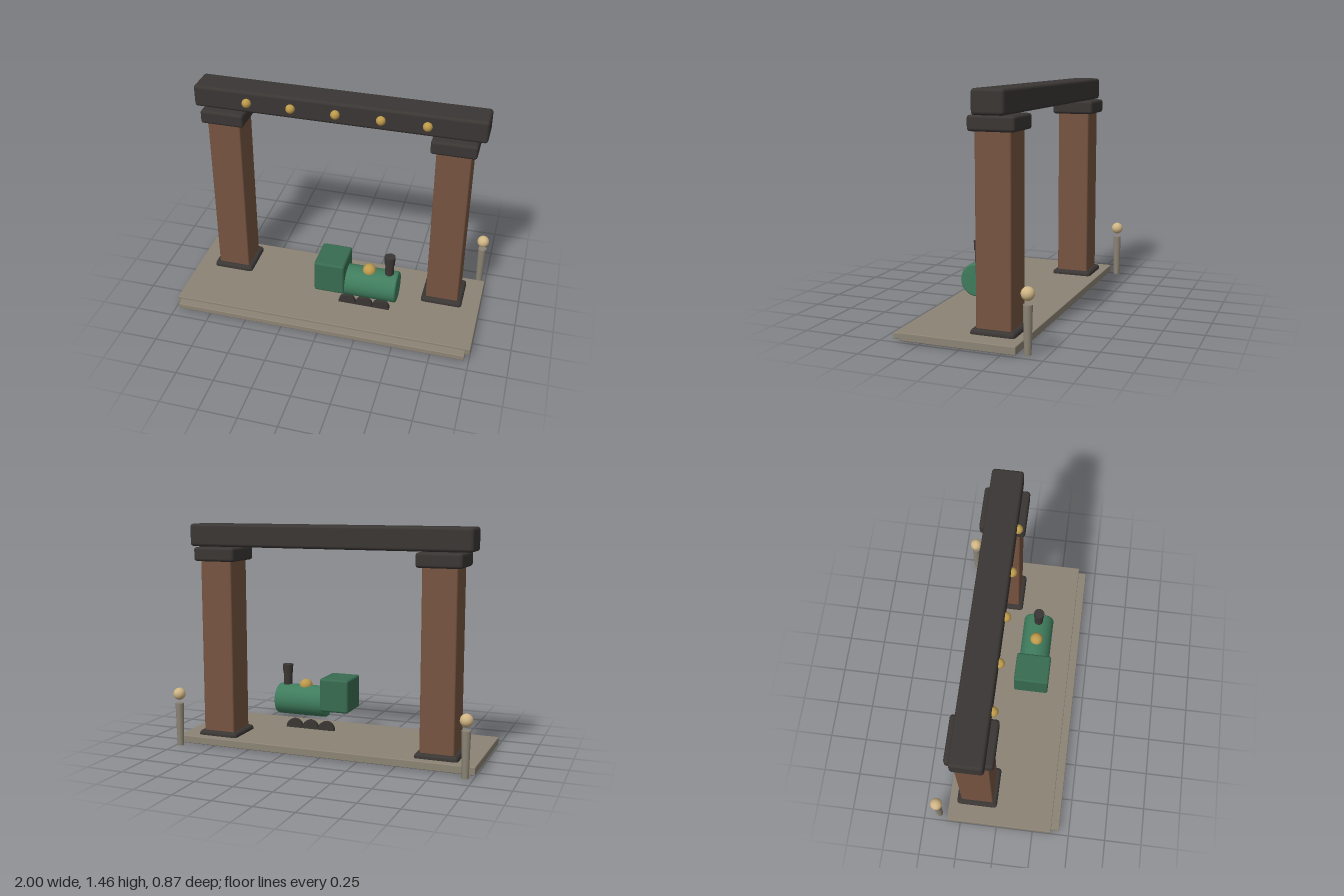
import * as THREE from 'three';
import { RoundedBoxGeometry } from 'three/addons/geometries/RoundedBoxGeometry.js';

const mat = (color) => new THREE.MeshStandardMaterial({ color });

export function createModel() {
  const model = new THREE.Group();
  const iron = mat(0x3a3634), wood = mat(0x765440), stone = mat(0x8c8475), green = mat(0x3f7c5d);
  const cab = mat(0x386b50), brass = mat(0xbd9a4b), cream = mat(0xd0b585), bed = mat(0x6f6650);

  const add = (name, geometry, material, x, y, z, parent = model) => {
    const mesh = new THREE.Mesh(geometry, material);
    mesh.name = name;
    mesh.position.set(x, y, z);
    parent.add(mesh);
    return mesh;
  };
  // Softly bevelled box given by its lower and upper corners
  const block = (name, material, [x0, y0, z0], [x1, y1, z1], bevel, parent) =>
    add(name, new RoundedBoxGeometry(x1 - x0, y1 - y0, z1 - z0, 2, bevel), material,
      (x0 + x1) / 2, (y0 + y1) / 2, (z0 + z1) / 2, parent);

  // Platform with its front step and the bed underneath
  block('platform', stone, [-1, 0.01, -0.34], [1, 0.06, 0.375], 0.005);
  block('frontStep', stone, [-0.975, 0.008, 0.29], [0.97, 0.045, 0.43], 0.005);
  block('trackBed', bed, [-0.47, 0.006, -0.16], [0.37, 0.04, 0.21], 0.003);

  // Two pillars, each with a foot and a capital
  for (const side of [-1, 1]) {
    const pillar = new THREE.Group();
    pillar.name = side > 0 ? 'leftPillar' : 'rightPillar';
    pillar.position.set(side * 0.743, 0, -0.149);
    model.add(pillar);
    block('shaft', wood, [-0.109, 0.01, -0.109], [0.109, 1.23, 0.109], 0.01, pillar);
    block('foot', iron, [-0.138, 0, -0.138], [0.138, 0.09, 0.138], 0.022, pillar);
    block('capital', iron, [-0.143, 1.217, -0.143], [0.143, 1.308, 0.143], 0.018, pillar);
  }

  // Lintel with a row of brass studs
  block('lintel', iron, [-0.938, 1.31, -0.25], [0.935, 1.456, -0.052], 0.02);
  for (let i = -2; i <= 2; i++) {
    add('stud', new THREE.SphereGeometry(0.03, 16, 12), brass, i * 0.288 - 0.005, 1.382, -0.046);
  }

  // Locomotive
  const engine = new THREE.Group();
  engine.name = 'locomotive';
  engine.position.z = 0.124;
  model.add(engine);
  block('cab', cab, [-0.069, 0.215, -0.118], [0.132, 0.438, 0.118], 0.015, engine);
  const half = 0.178, r = 0.104, b = 0.012;
  const boilerProfile = [[0, -half], [r - b, -half], [r - b * 0.3, -half + b * 0.3], [r, -half + b],
    [r, half - b], [r - b * 0.3, half - b * 0.3], [r - b, half], [0, half]]
    .map(([x, y]) => new THREE.Vector2(x, y));
  add('boiler', new THREE.LatheGeometry(boilerProfile, 32), green, 0.293, 0.259, 0, engine)
    .rotation.z = -Math.PI / 2;
  add('steamDome', new THREE.SphereGeometry(0.044, 20, 14), brass, 0.276, 0.36, 0, engine);
  add('chimney', new THREE.CylinderGeometry(0.029, 0.029, 0.14, 20), iron, 0.41, 0.41, 0, engine);
  add('chimneyCap', new THREE.CylinderGeometry(0.036, 0.033, 0.06, 20), iron, 0.41, 0.468, 0, engine);
  for (let i = 0; i < 3; i++) {
    add('wheel', new THREE.CylinderGeometry(0.058, 0.058, 0.03, 24), iron, 0.128 + i * 0.116, 0.063, 0, engine)
      .rotation.x = Math.PI / 2;
  }

  // Ball-topped posts behind the platform
  for (const side of [-1, 1]) {
    add('post', new THREE.CylinderGeometry(0.028, 0.021, 0.285, 12), stone, side * 0.955, 0.152, -0.396);
    add('postBall', new THREE.SphereGeometry(0.04, 20, 14), cream, side * 0.955, 0.355, -0.396);
  }
  return model;
}
